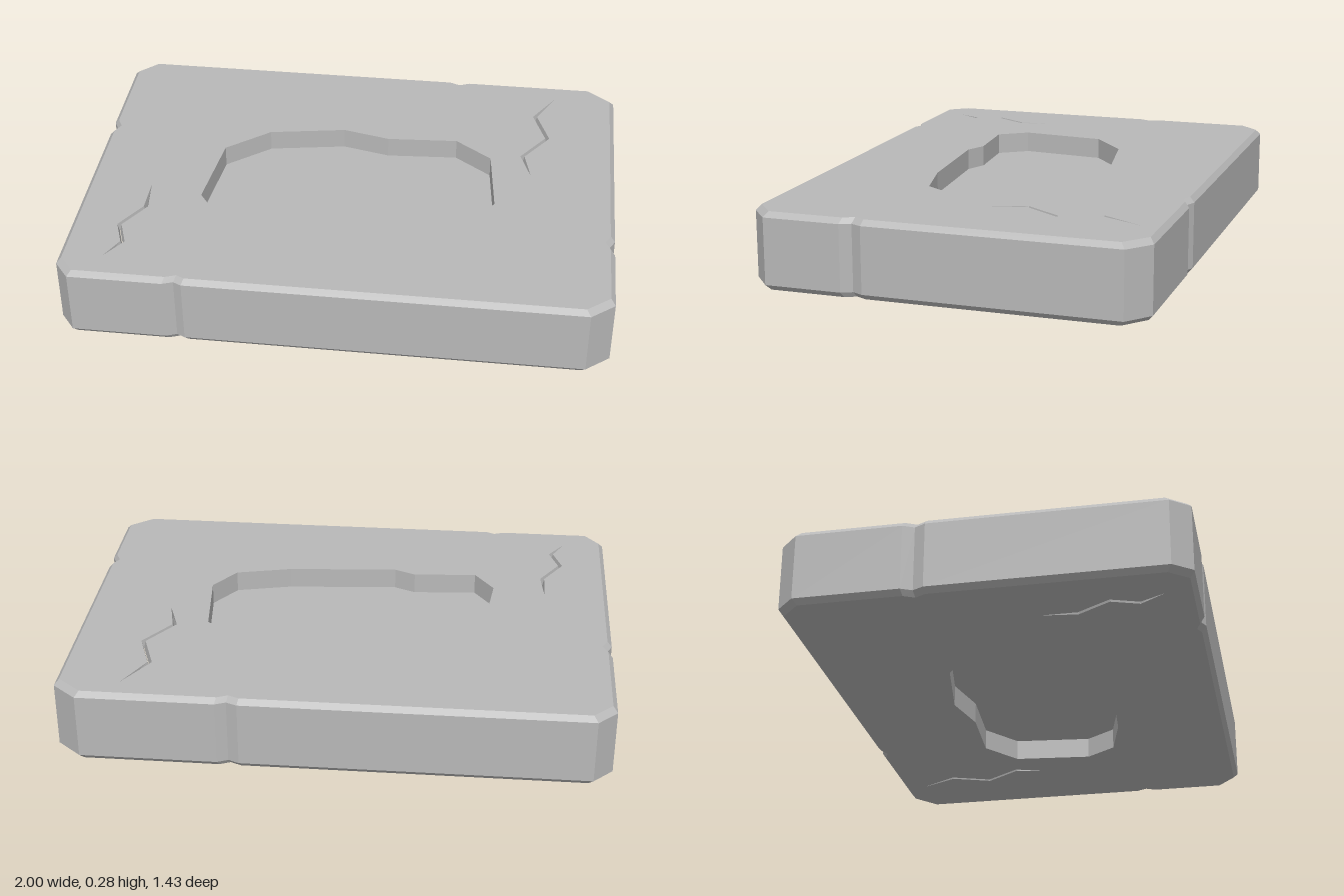
import * as THREE from 'three';

const H = 0.283, BEVEL = 0.02, DEPTH = 0.08, CRACK = 0.03;

// Loops are [x, z], counter-clockwise seen from above
const outline = [
  [-0.945, 0.715], [-0.6, 0.715], [-0.56, 0.7], [-0.53, 0.715], [0.915, 0.715],
  [1, 0.645], [1, 0.36], [0.98, 0.32], [1, 0.28], [1, -0.645],
  [0.91, -0.72], [0.41, -0.72], [0.37, -0.703], [0.33, -0.72], [-0.93, -0.72],
  [-1, -0.65], [-1, -0.27], [-0.98, -0.23], [-1, -0.19], [-1, 0.645],
];
const inner = outline.map(([x, z]) => [x * 0.983, z * 0.977]);

const recess = [
  [-0.555, 0.2], [-0.48, 0.305], [-0.24, 0.287], [-0.16, 0.322], [0.26, 0.29],
  [0.47, 0.24], [0.55, 0.125], [0.52, -0.17], [0.38, -0.275], [0.11, -0.258],
  [-0.07, -0.3], [-0.36, -0.25], [-0.52, -0.12],
];

const crackPaths = [
  [[0.765, -0.635], [0.675, -0.485], [0.728, -0.335], [0.635, -0.2], [0.68, -0.07]],
  [[-0.755, 0.155], [-0.755, 0.295], [-0.828, 0.415], [-0.793, 0.515], [-0.838, 0.605]],
];

// Zigzag sliver: down one side, back along the other; widths taper to the ends
function crackLoop(path, left, right) {
  const mid = path.slice(1, -1);
  return [
    path[0], ...mid.map(([x, z]) => [x + left, z]),
    path[path.length - 1], ...mid.reverse().map(([x, z]) => [x + right, z]),
  ];
}

// Flat-shaded strip joining two loops of equal length
function band(a, ya, b, yb) {
  const pos = [];
  a.forEach((p, i) => {
    const j = (i + 1) % a.length;
    const A = [p[0], ya, p[1]], B = [a[j][0], ya, a[j][1]];
    const C = [b[j][0], yb, b[j][1]], D = [b[i][0], yb, b[i][1]];
    pos.push(...A, ...B, ...C, ...A, ...C, ...D);
  });
  const g = new THREE.BufferGeometry();
  g.setAttribute('position', new THREE.Float32BufferAttribute(pos, 3));
  g.computeVertexNormals();
  return g;
}

// Flat horizontal face, facing up or down, with optional holes
function cap(loop, y, up, holes = []) {
  const s = up ? -1 : 1;
  const pts = (l) => l.map(([x, z]) => new THREE.Vector2(x, s * z));
  const shape = new THREE.Shape(pts(loop));
  shape.holes = holes.map((h) => new THREE.Path(pts(h)));
  return new THREE.ShapeGeometry(shape).rotateX(s * Math.PI / 2).translate(0, y, 0);
}

export function createModel() {
  const stone = new THREE.MeshStandardMaterial({ color: 0xb8b8b8 });
  stone.name = 'stone grey';
  const group = new THREE.Group();
  group.name = 'stoneSlab';
  const add = (name, geometry) => {
    const mesh = new THREE.Mesh(geometry, stone);
    mesh.name = name;
    group.add(mesh);
  };

  // Chipped sides with bevelled edges
  add('lowerBevel', band(inner, 0, outline, BEVEL));
  add('sides', band(outline, BEVEL, outline, H - BEVEL));
  add('upperBevel', band(outline, H - BEVEL, inner, H));

  // Both faces carry the same recess and cracks
  const cracks = crackPaths.map((p) => crackLoop(p, 0, 0.016));
  const grooves = crackPaths.map((p) => crackLoop(p, 0.007, 0.009));
  for (const [side, y, dir] of [['top', H, -1], ['bottom', 0, 1]]) {
    const up = dir < 0;
    add(side + 'Face', cap(inner, y, up, [recess, ...cracks]));
    // Inward walls: their winding depends on which way they sink
    const wall = (a, b, depth) => {
      const g = up ? band(a, y, b, y - depth) : band(b, y + depth, a, y);
      return g;
    };
    add(side + 'RecessWall', wall(recess, recess, DEPTH));
    add(side + 'RecessFloor', cap(recess, y + dir * DEPTH, up));
    cracks.forEach((c, i) => add(side + 'Crack' + (i + 1), wall(c, grooves[i], CRACK)));
  }
  return group;
}
